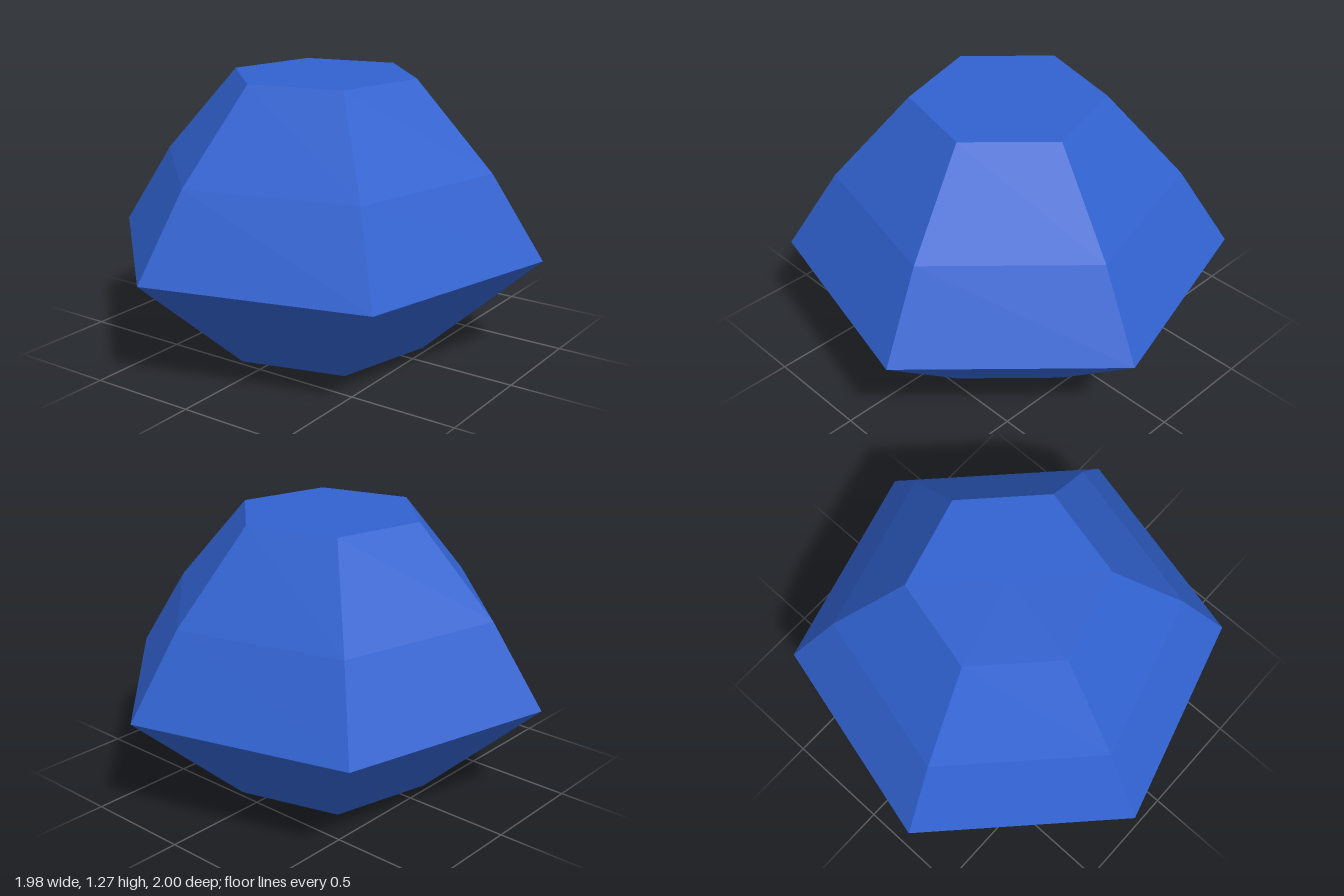
import * as THREE from 'three';

export function createModel() {
  const group = new THREE.Group();
  group.name = 'gemstone';

  const gemBlue = new THREE.MeshStandardMaterial({ color: 0x3162d0, flatShading: true });
  gemBlue.name = 'gemBlue';

  // Profile from base facet through girdle and crown to the table, [radius, height]
  const profile = [
    [0, 0], [0.49, 0], [1.03, 0.49], [0.79, 0.87], [0.435, 1.275], [0, 1.275],
  ].map(([r, y]) => new THREE.Vector2(r, y));

  // Six-sided cut stone, turned slightly about its axis
  const turn = THREE.MathUtils.degToRad(-14);
  const geometry = new THREE.LatheGeometry(profile, 6, turn).toNonIndexed();
  geometry.computeVertexNormals();

  const gem = new THREE.Mesh(geometry, gemBlue);
  gem.name = 'cutGem';
  group.add(gem);
  return group;
}
